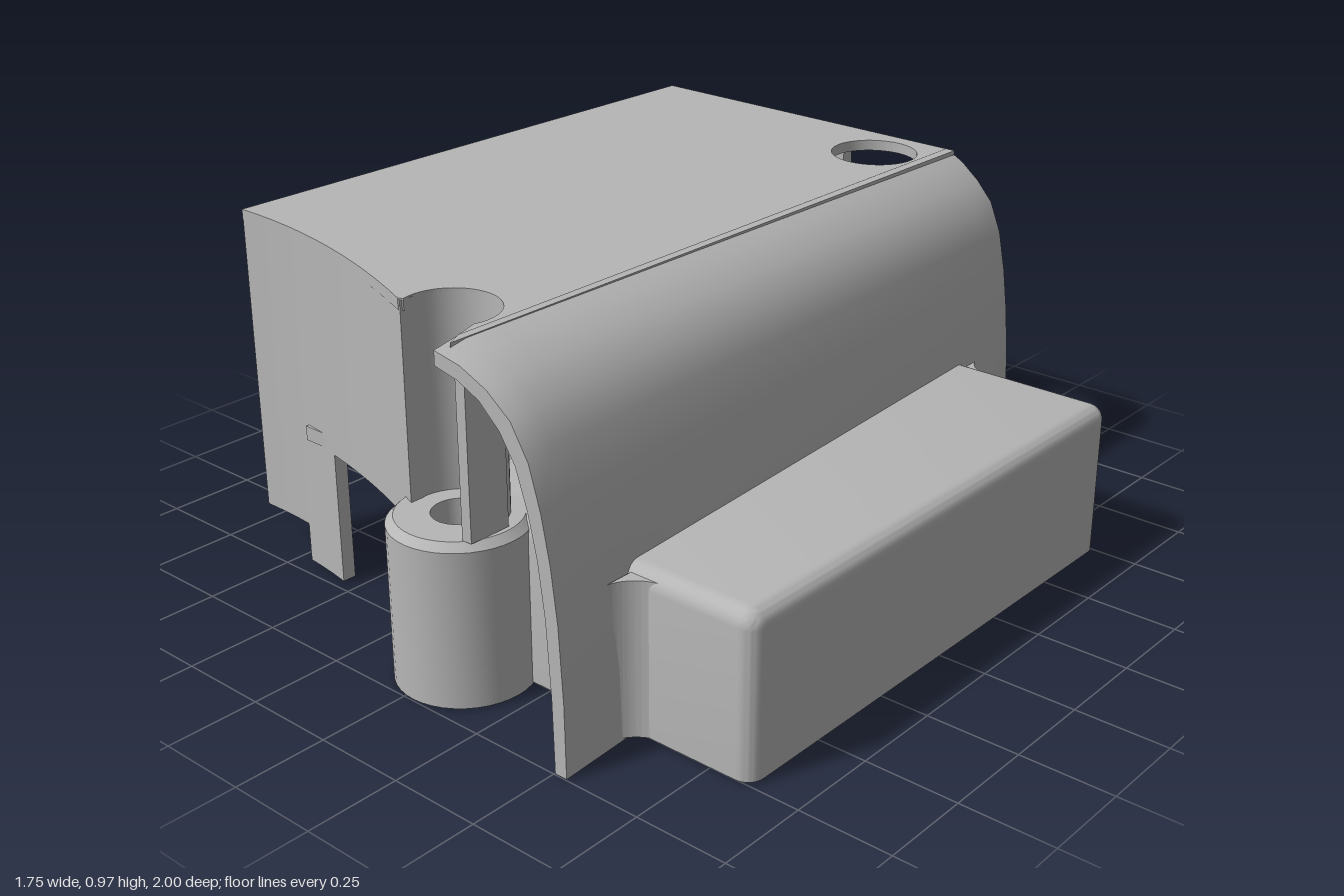
import * as THREE from 'three';
import { toCreasedNormals } from 'three/addons/utils/BufferGeometryUtils.js';
import { RoundedBoxGeometry } from 'three/addons/geometries/RoundedBoxGeometry.js';

export function createModel() {
  const group = new THREE.Group();
  const grey = new THREE.MeshStandardMaterial({ color: 0xb6b6b6, side: THREE.DoubleSide });
  grey.name = 'plainGrey';

  const add = (name, geo, crease = 0.6) => {
    const mesh = new THREE.Mesh(toCreasedNormals(geo, crease), grey);
    mesh.name = name;
    group.add(mesh);
    return mesh;
  };
  const bend = (geo, rule) => {
    const p = geo.attributes.position;
    const v = new THREE.Vector3();
    for (let i = 0; i < p.count; i++) {
      rule(v.fromBufferAttribute(p, i), i);
      p.setXYZ(i, v.x, v.y, v.z);
    }
    geo.computeVertexNormals();
    return geo;
  };
  const block = (name, x0, x1, y0, y1, z0, z1) =>
    add(name, new THREE.BoxGeometry(x1 - x0, y1 - y0, z1 - z0)
      .translate((x0 + x1) / 2, (y0 + y1) / 2, (z0 + z1) / 2));
  const extrude = (shape, depth, steps = 1) =>
    new THREE.ExtrudeGeometry(shape, { depth, steps, bevelEnabled: false, curveSegments: 32 });

  const BX = 0.03, BZ = 0.82, R = 0.122; // screw boss position and channel radius

  // Front edge of the lid, swept forward towards the boss
  const frontZ = (x) => {
    const t = THREE.MathUtils.clamp((x + 0.82) / 0.74, 0, 1);
    return 0.70 + 0.17 * Math.pow(t, 1.8);
  };

  // Flat lid with a round hole at the back and a notch around the front boss
  const lid = new THREE.Shape();
  lid.moveTo(-0.88, 1);
  lid.lineTo(-0.88, -0.70);
  for (let i = 1; i <= 12; i++) {
    const x = -0.88 + (i / 12) * 0.78;
    lid.lineTo(x, -frontZ(x));
  }
  lid.absarc(BX, -BZ, R, Math.PI + 0.3, -0.3, true);
  lid.lineTo(0.17, -0.93);
  lid.lineTo(0.19, -0.97);
  lid.lineTo(0.19, 1);
  const hole = new THREE.Path();
  hole.absarc(BX, 0.83, R, 0, Math.PI * 2, true);
  lid.holes.push(hole);
  add('lid', bend(extrude(lid, 0.03).rotateX(-Math.PI / 2).translate(0, 0.93, 0),
    (v) => { v.y += 0.012 * (0.15 - v.x) - 0.004; }));

  // Curved side cowl, wider at the front; its middle stops on top of the box
  const outer = [[0.17, 0.957], [0.25, 0.942], [0.33, 0.907], [0.4, 0.853], [0.45, 0.77], [0.483, 0.66], [0.507, 0.54], [0.525, 0.4], [0.537, 0.2], [0.54, 0.005]];
  const inner = [[0.505, 0.005], [0.5, 0.2], [0.487, 0.4], [0.468, 0.54], [0.443, 0.65], [0.41, 0.75], [0.365, 0.82], [0.305, 0.875], [0.24, 0.905], [0.17, 0.92]];
  const cowl = new THREE.Shape([...outer, ...inner].map(([x, y]) => new THREE.Vector2(x, y)));
  add('sideCowl', bend(extrude(cowl, 2, 25).translate(0, 0, -1), (v) => {
    const low = v.z < -0.7 ? 0.13 : v.z < 0.7 ? 0.405 : 0;
    const drop = 0.012 * (1 - v.z) * THREE.MathUtils.clamp((v.x - 0.19) / 0.1, 0, 1);
    v.x = 0.15 + (v.x - 0.15) * (0.845 + 0.155 * v.z);
    v.y = Math.max(v.y - drop, low);
    if (v.z > 0.97) v.y *= 0.985;
  }), 0.7);

  // Hollow side box: soft outer edges, raised ceiling, open below and on the inner side
  const r = 0.045;
  const box = new RoundedBoxGeometry(0.995, 0.43 + r, 1.52, 4, r).translate(0.3775, 0.01 + (0.43 - r) / 2, 0);
  const inGroup = (n, i) => i >= box.groups[n].start && i < box.groups[n].start + box.groups[n].count;
  add('sideBox', bend(box, (v, i) => {
    if (inGroup(3, i)) v.y = 0.4;
    else v.y = Math.max(v.y, inGroup(1, i) ? 0.4 : 0.01);
  }));
  block('boxFrontLining', -0.1, 0.83, 0.01, 0.41, 0.645, 0.73);
  block('shelf', -0.66, -0.08, 0.385, 0.425, -0.62, 0.72);

  // Small fillets where the box meets the cowl
  for (const s of [-1, 1]) {
    const x = s < 0 ? 0.41 : 0.515;
    const f = new THREE.Shape();
    f.moveTo(x, -s * 0.75);
    f.lineTo(x + 0.09, -s * 0.75);
    f.quadraticCurveTo(x + 0.02, -s * 0.765, x, -s * 0.83);
    const low = s < 0 ? 0.13 : 0.01;
    add('boxFillet', extrude(f, 0.42 - low).rotateX(-Math.PI / 2).translate(0, low, 0));
  }

  // Screw bosses
  for (const [name, z, rad] of [['frontBoss', BZ, 0.178], ['backBoss', -0.83, 0.155]]) {
    const ring = [[0.07, 0.005], [rad, 0.005], [rad, 0.42], [rad - 0.02, 0.44], [0.07, 0.44], [0.07, 0.005]];
    add(name, new THREE.LatheGeometry(ring.map(([x, y]) => new THREE.Vector2(x, y)), 40))
      .position.set(BX, 0, z);
  }

  // Upright channel that leads a screw down to the front boss
  add('frontChannel', new THREE.CylinderGeometry(R, R, 0.52, 24, 1, true, Math.PI / 2 - 0.2, Math.PI + 0.4))
    .position.set(BX, 0.69, BZ);
  block('channelRib', 0.145, 0.175, 0.44, 0.94, 0.80, 0.92);

  // Front wall following the lid edge, with a square doorway
  for (const [x0, x1, y0, y1] of [[-0.88, -0.09, 0.38, 0.955], [-0.88, -0.70, 0.12, 0.38], [-0.70, -0.54, 0.01, 0.38]]) {
    const n = Math.ceil((x1 - x0) / 0.06);
    add('frontWall', bend(new THREE.BoxGeometry(x1 - x0, y1 - y0, 0.04, n, 1, 1)
      .translate((x0 + x1) / 2, (y0 + y1) / 2, -0.021), (v) => { v.z += frontZ(v.x); }));
  }

  // Back wall with a rounded opening and two legs
  const back = new THREE.Shape();
  back.moveTo(-0.88, 0.01);
  back.lineTo(-0.79, 0.01);
  back.lineTo(-0.79, 0.4);
  back.quadraticCurveTo(-0.78, 0.72, -0.58, 0.75);
  back.lineTo(-0.32, 0.75);
  back.quadraticCurveTo(-0.26, 0.74, -0.26, 0.66);
  back.lineTo(-0.26, 0.01);
  back.lineTo(-0.17, 0.01);
  back.lineTo(-0.17, 0.94);
  back.lineTo(-0.88, 0.94);
  add('backWall', extrude(back, 0.04).translate(0, 0, -1));
  block('cornerPost', -0.88, -0.84, 0.01, 0.94, -0.99, -0.79);
  block('cornerFoot', -0.88, -0.70, 0.01, 0.12, -0.97, -0.76);

  // Wheel arch drum on the open side, with a smaller arch cut through below
  const drum = new THREE.Shape();
  drum.moveTo(-0.76, 0.03);
  drum.lineTo(-0.77, 0.2);
  drum.absarc(-0.07, 0.2, 0.7, Math.PI, 0.2, true);
  drum.lineTo(0.62, 0.29);
  drum.absarc(0.34, 0.03, 0.38, 0.75, Math.PI, false);
  add('outerArchDrum', extrude(drum, 0.12).rotateY(-Math.PI / 2).translate(-0.745, 0, 0));

  // Thin arch rim reaching inwards from the side wall
  const rim = new THREE.Shape();
  rim.moveTo(-0.70, 0.03);
  rim.absarc(-0.07, 0.2, 0.64, Math.PI, 0.4, true);
  rim.absarc(-0.07, 0.2, 0.6, 0.4, Math.PI, false);
  rim.lineTo(-0.66, 0.03);
  add('innerArchRim', extrude(rim, 0.17).rotateY(-Math.PI / 2).translate(-0.55, 0, 0));

  // Side wall set in behind the outer drum
  const wall = new THREE.Shape();
  wall.moveTo(-0.96, 0.03);
  wall.lineTo(-0.96, 0.94);
  wall.lineTo(0.67, 0.94);
  wall.lineTo(0.67, 0.22);
  wall.absarc(0.34, 0.03, 0.38, 0.52, Math.PI, false);
  add('innerSideWall', extrude(wall, 0.025).rotateY(-Math.PI / 2).translate(-0.72, 0, 0));

  return group;
}
